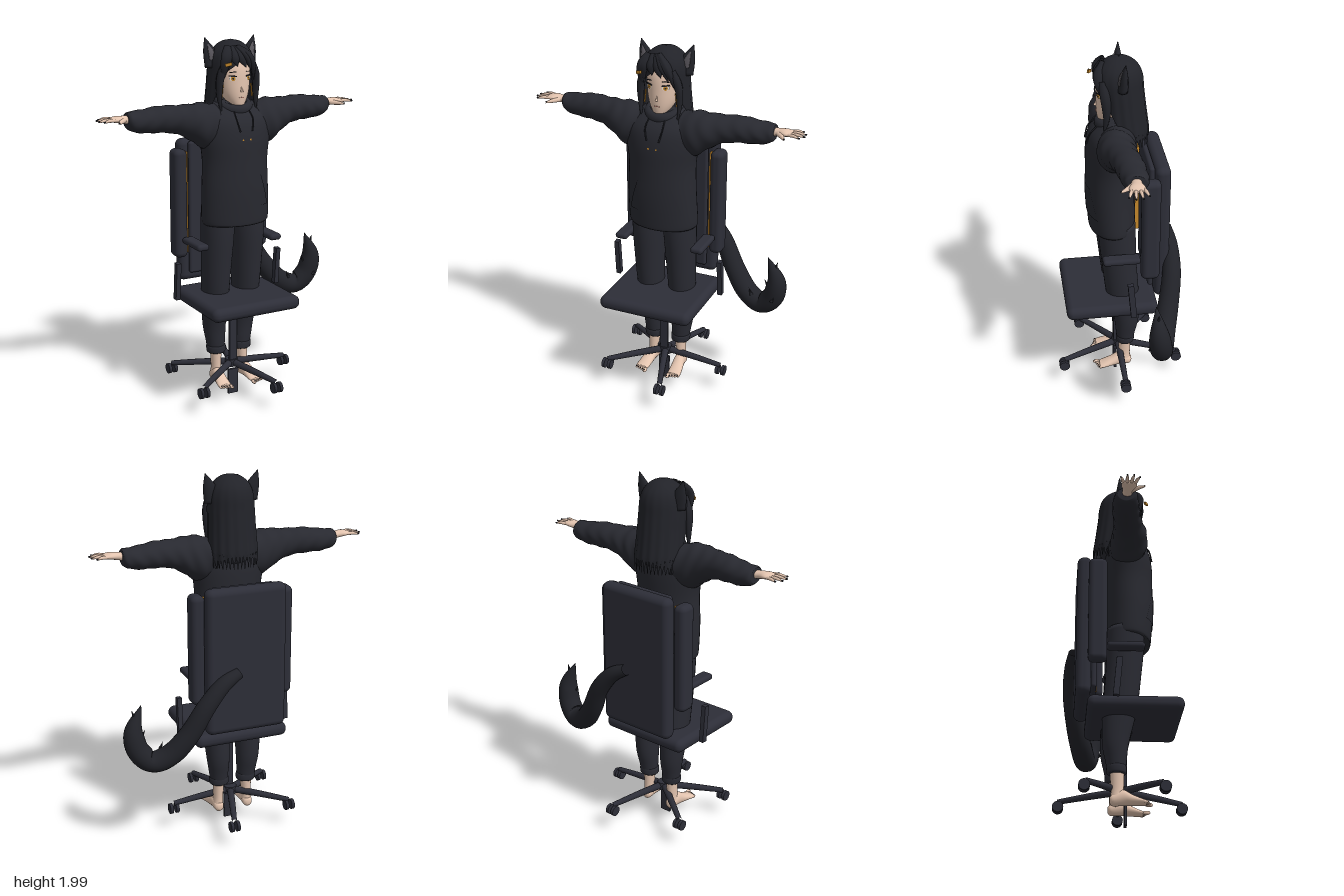
import * as THREE from 'three';
import { RoundedBoxGeometry } from 'three/addons/geometries/RoundedBoxGeometry.js';

const mat = (name, color, side = THREE.FrontSide) => {
  const m = new THREE.MeshStandardMaterial({ color, side });
  m.name = name;
  return m;
};

export function createModel() {
  const root = new THREE.Group();
  root.name = 'figureWithChair';
  const M = {
    cloth: mat('hoodieCloth', 0x282930, THREE.DoubleSide),
    pants: mat('trouserCloth', 0x2a2b33),
    hair: mat('hairBlack', 0x222329, THREE.DoubleSide),
    chair: mat('chairGrey', 0x2d2e38),
    skin: mat('skin', 0xe4c5b0),
    amber: mat('amber', 0xc88a2c, THREE.DoubleSide),
    grey: mat('earLining', 0x57545a),
    lip: mat('lip', 0xb98476),
    white: mat('eyeWhite', 0xe9e4de, THREE.DoubleSide),
  };
  const add = (name, geo, m, parent = root, p = [0, 0, 0], r = [0, 0, 0]) => {
    const mesh = new THREE.Mesh(geo, m);
    mesh.name = name;
    mesh.position.set(...p);
    mesh.rotation.set(...r);
    parent.add(mesh);
    return mesh;
  };
  const group = (name, parent = root) => {
    const g = new THREE.Group();
    g.name = name;
    parent.add(g);
    return g;
  };

  // Grid surface: u goes around (optionally closed), v goes along
  const surface = (nu, nv, f, wrap = false) => {
    const pos = [], idx = [], cols = wrap ? nu : nu + 1;
    for (let j = 0; j <= nv; j++)
      for (let i = 0; i < cols; i++) pos.push(...f(i / nu, j / nv, j));
    for (let j = 0; j < nv; j++)
      for (let i = 0; i < nu; i++) {
        const k = (i + 1) % cols, a = j * cols + i, b = j * cols + k;
        idx.push(a, a + cols, b, b, a + cols, b + cols);
      }
    const g = new THREE.BufferGeometry();
    g.setAttribute('position', new THREE.Float32BufferAttribute(pos, 3));
    g.setIndex(idx);
    g.computeVertexNormals();
    return g;
  };
  // Smooth interpolation through rows of numbers
  const sampler = rows => {
    const it = new THREE.CubicInterpolant(rows.map((_, i) => i), rows.flat(), rows[0].length, new Float32Array(rows[0].length));
    return v => Array.from(it.evaluate(v * (rows.length - 1)));
  };
  // Closed loft of ellipses along an axis; row = [t, centreA, centreB, radiusA, radiusB]
  const loft = (axis, rows, n = 24, fold = 0) => {
    const s = sampler(rows), nv = (rows.length - 1) * 5 + 2;
    return surface(n, nv, (u, v, j) => {
      const [t, ca, cb, ra, rb] = s(Math.min(Math.max((j - 1) / (nv - 2), 0), 1));
      const a = u * Math.PI * 2, end = j === 0 || j === nv ? 0 : 1;
      const k = end * (1 + fold * Math.sin(t * 75 + 2 * Math.sin(a * 2)));
      if (axis === 'y') return [ca + k * ra * Math.cos(a), t, cb + k * rb * Math.sin(a)];
      if (axis === 'x') return [t, ca + k * ra * Math.sin(a), cb + k * rb * Math.cos(a)];
      return [ca + k * ra * Math.sin(a), cb + k * rb * Math.cos(a), t];
    }, true);
  };
  // Tapered tube along a curve
  const sweep = (pts, radii, n = 12, nv = 24, flat = 1) => {
    const c = new THREE.CatmullRomCurve3(pts.map(p => new THREE.Vector3(...p)));
    const fr = c.computeFrenetFrames(nv), rad = sampler(radii.map(r => [r]));
    return surface(n, nv, (u, v, j) => {
      const a = u * Math.PI * 2, r = Math.max(rad(v)[0], 0.0005);
      return c.getPoint(v).addScaledVector(fr.normals[j], r * Math.cos(a))
        .addScaledVector(fr.binormals[j], -r * flat * Math.sin(a)).toArray();
    }, true);
  };
  const box = (w, h, d, r) => new RoundedBoxGeometry(w, h, d, 4, r);

  // ---- Chair ----
  const chair = group('chair');
  add('seat', box(0.53, 0.075, 0.5, 0.035), M.chair, chair, [0, 0.583, 0.06]);
  add('backrestShell', box(0.45, 0.8, 0.08, 0.035), M.chair, chair, [0, 1.04, -0.21]);
  add('backrestCushion', box(0.36, 0.74, 0.03, 0.014), M.chair, chair, [0, 1.06, -0.155]);
  for (const s of [-1, 1]) {
    add('sideBolster', box(0.075, 0.6, 0.1, 0.03), M.chair, chair, [s * 0.248, 1.1, -0.14]);
    add('amberPiping', new THREE.BoxGeometry(0.009, 0.56, 0.03), M.amber, chair, [s * 0.203, 1.1, -0.14]);
    add('armrest', box(0.07, 0.035, 0.2, 0.016), M.chair, chair, [s * 0.222, 0.905, 0.01]);
    add('armrestSupport', new THREE.BoxGeometry(0.026, 0.21, 0.032), M.chair, chair, [s * 0.31, 0.695, -0.037], [0.09, 0, 0]);
  }
  add('post', new THREE.BoxGeometry(0.045, 0.38, 0.014), M.chair, chair, [0, 0.36, 0.02]);
  add('postFoot', new THREE.BoxGeometry(0.062, 0.145, 0.014), M.chair, chair, [0, 0.075, 0.02]);
  add('hub', new THREE.CylinderGeometry(0.035, 0.04, 0.04, 20), M.chair, chair, [0, 0.185, 0]);
  for (let i = 0; i < 5; i++) {
    const a = i * Math.PI * 0.4, x = 0.34 * Math.cos(a), z = 0.34 * Math.sin(a);
    add('baseLeg', sweep([[0, 0.185, 0], [x / 2, 0.172, z / 2], [x, 0.155, z]], [0.02, 0.018, 0.014], 10, 6), M.chair, chair);
    for (const s of [-1, 1])
      add('casterWheel', new THREE.CylinderGeometry(0.029, 0.029, 0.017, 18), M.chair, chair, [x + s * 0.017, 0.126, z], [0, 0, Math.PI / 2]);
  }

  // ---- Hoodie ----
  const hoodie = group('hoodie');
  const torso = [
    [1.01, 0.004, 0.035, 0.182, 0.122], [1.04, 0.004, 0.035, 0.193, 0.127], [1.2, 0, 0.042, 0.19, 0.13],
    [1.36, 0, 0.04, 0.185, 0.132], [1.48, 0, 0.037, 0.2, 0.133], [1.57, 0, 0.03, 0.2, 0.12],
    [1.635, 0, 0.01, 0.15, 0.09], [1.67, 0, 0.005, 0.08, 0.06]];
  add('torso', loft('y', torso, 40), M.cloth, hoodie);
  const body = sampler(torso);
  add('frontPocket', surface(16, 8, (u, v) => {
    const [y, cx, cz, rx, rz] = body((1.5 + v) / 7);
    const a = Math.PI / 2 + (0.5 - u) * (1.7 - 0.7 * v);
    return [cx + rx * 1.03 * Math.cos(a), y, cz + rz * 1.03 * Math.sin(a)];
  }), M.cloth, hoodie);
  const collar = add('hoodCollar', new THREE.TorusGeometry(0.077, 0.027, 12, 32), M.cloth, hoodie, [0, 1.642, 0.022], [Math.PI / 2 + 0.3, 0, 0]);
  collar.scale.set(1, 1, 1.2);
  add('hoodBack', new THREE.SphereGeometry(1, 20, 14), M.cloth, hoodie, [0, 1.59, -0.06]).scale.set(0.11, 0.075, 0.06);
  for (const s of [-1, 1]) {
    add('drawstring', sweep([[s * 0.045, 1.62, 0.115], [s * 0.048, 1.58, 0.152], [s * 0.035, 1.52, 0.168]], [0.004, 0.004, 0.005], 6, 8), M.hair, hoodie);
    add('amberEyelet', new THREE.CircleGeometry(0.005, 10), M.amber, hoodie, [s * 0.022, 1.478, 0.174]);
  }

  // ---- Limbs, built on the left and mirrored ----
  for (const s of [1, -1]) {
    const side = group(s > 0 ? 'leftLimbs' : 'rightLimbs');
    side.scale.x = s;
    add('sleeve', loft('x', [
      [0.1, 1.54, 0.02, 0.11, 0.1], [0.19, 1.548, 0.03, 0.12, 0.1], [0.25, 1.567, 0.03, 0.098, 0.093],
      [0.33, 1.587, 0.015, 0.075, 0.078], [0.42, 1.594, 0, 0.069, 0.074], [0.5, 1.59, -0.008, 0.062, 0.07],
      [0.56, 1.592, -0.012, 0.054, 0.064], [0.585, 1.597, -0.012, 0.047, 0.058], [0.597, 1.6, -0.012, 0.038, 0.045]], 28, 0.03), M.cloth, side);
    // Hand with fanned fingers
    add('palm', loft('x', [
      [0.58, 1.603, -0.01, 0.022, 0.026], [0.62, 1.608, -0.006, 0.02, 0.028],
      [0.655, 1.612, -0.003, 0.017, 0.04], [0.69, 1.612, -0.004, 0.01, 0.037]], 16), M.skin, side);
    [[0.026, 0.74, 0.047], [0.007, 0.758, 0.016], [-0.014, 0.756, -0.018], [-0.034, 0.735, -0.05]].forEach(([z, x, tz]) => {
      add('finger', sweep([[0.675, 1.612, z], [(0.68 + x) / 2, 1.614, (z + tz) / 2], [x, 1.608, tz]], [0.009, 0.0085, 0.003], 8, 8), M.skin, side);
      add('fingernail', new THREE.SphereGeometry(0.0045, 8, 6), M.hair, side, [x - 0.003, 1.611, tz]).scale.x = 1.6;
    });
    add('thumb', sweep([[0.62, 1.606, 0.012], [0.65, 1.604, 0.045], [0.672, 1.602, 0.078]], [0.014, 0.011, 0.004], 8, 8), M.skin, side);
    add('thumbnail', new THREE.SphereGeometry(0.0045, 8, 6), M.hair, side, [0.67, 1.605, 0.075]);
    // Trouser leg and rolled cuff
    add('trouserLeg', loft('y', [
      [0.25, 0.08, -0.03, 0.046, 0.044], [0.32, 0.083, -0.033, 0.054, 0.055], [0.42, 0.088, -0.036, 0.064, 0.07],
      [0.6, 0.094, -0.014, 0.073, 0.09], [0.8, 0.094, 0.005, 0.082, 0.095],
      [0.94, 0.092, 0.014, 0.088, 0.1], [1.06, 0.09, 0.018, 0.092, 0.1]], 28), M.pants, side);
    add('trouserCuff', loft('y', [
      [0.25, 0.08, -0.03, 0.048, 0.045], [0.258, 0.08, -0.03, 0.054, 0.051],
      [0.285, 0.081, -0.03, 0.055, 0.052], [0.295, 0.081, -0.03, 0.05, 0.047]], 24), M.pants, side);
    // Bare foot
    add('ankle', loft('y', [
      [0.12, 0.086, -0.026, 0.029, 0.034], [0.17, 0.084, -0.026, 0.027, 0.033], [0.27, 0.082, -0.028, 0.033, 0.037]], 16), M.skin, side);
    add('foot', loft('z', [
      [-0.066, 0.086, 0.112, 0.012, 0.014], [-0.05, 0.086, 0.112, 0.027, 0.03], [0, 0.088, 0.125, 0.031, 0.042],
      [0.05, 0.093, 0.112, 0.035, 0.028], [0.1, 0.098, 0.1, 0.038, 0.016], [0.12, 0.098, 0.098, 0.034, 0.011]], 18), M.skin, side);
    for (let i = 0; i < 5; i++) {
      const x = 0.07 + i * 0.0145, r = i ? 0.0075 : 0.011, z = 0.135 - i * 0.005;
      add('toe', new THREE.SphereGeometry(r, 10, 8), M.skin, side, [x, 0.096, z]).scale.z = 1.9;
      add('toenail', new THREE.SphereGeometry(r * 0.5, 8, 6), M.hair, side, [x, 0.101, z + r]);
    }
  }

  // ---- Head ----
  const head = group('head');
  add('neck', new THREE.CylinderGeometry(0.038, 0.045, 0.12, 16), M.skin, head, [0, 1.65, 0.01]);
  add('face', loft('y', [
    [1.632, 0, 0.085, 0.014, 0.014], [1.655, 0, 0.06, 0.042, 0.046], [1.7, 0, 0.035, 0.07, 0.077],
    [1.76, 0, 0.024, 0.084, 0.088], [1.84, 0, 0.014, 0.09, 0.092], [1.91, 0, 0, 0.08, 0.08]], 32), M.skin, head);
  add('nose', new THREE.ConeGeometry(0.008, 0.035, 8), M.skin, head, [0, 1.737, 0.113], [-0.25, 0, 0]);
  add('mouth', new THREE.BoxGeometry(0.028, 0.004, 0.006), M.lip, head, [0, 1.69, 0.111]);
  for (const s of [-1, 1]) {
    const eye = group('eye', head);
    eye.position.set(s * 0.046, 1.79, 0.102);
    eye.rotation.y = s * 0.48;
    add('eyeWhite', new THREE.CircleGeometry(0.02, 20), M.white, eye).scale.y = 0.62;
    add('iris', new THREE.CircleGeometry(0.012, 18), M.amber, eye, [-s * 0.002, 0, 0.002]);
    add('pupil', new THREE.CircleGeometry(0.005, 12), M.hair, eye, [-s * 0.002, 0, 0.004]);
    add('upperLash', new THREE.BoxGeometry(0.044, 0.006, 0.005), M.hair, eye, [0, 0.013, 0.002], [0, 0, s * 0.08]);
    add('eyebrow', new THREE.BoxGeometry(0.036, 0.004, 0.004), M.hair, eye, [0, 0.033, 0], [0, 0, -s * 0.1]);
    // Animal ear with pale lining
    const ear = group('animalEar', head);
    ear.scale.x = s;
    add('earShell', loft('y', [[1.84, 0.098, -0.01, 0.05, 0.028], [1.92, 0.117, -0.015, 0.038, 0.021], [1.995, 0.145, -0.02, 0.002, 0.002]], 16), M.hair, ear);
    add('earLining', loft('y', [[1.88, 0.112, 0.008, 0.02, 0.007], [1.92, 0.119, 0.004, 0.018, 0.005], [1.962, 0.133, -0.008, 0.003, 0.003]], 10), M.grey, ear);
    add('amberStreak', new THREE.BoxGeometry(0.006, 0.07, 0.006), M.amber, ear, [0.087, 1.72, 0.062], [0, 0, 0.1]);
    // Face-framing lock
    add('sideLock', sweep([[0.07, 1.88, 0.085], [0.103, 1.8, 0.075], [0.108, 1.7, 0.07], [0.1, 1.6, 0.085]], [0.024, 0.026, 0.018, 0.002], 8, 16, 0.8), M.hair, ear);
  }

  // Hair shell: rows of [y, centreZ, radiusX, radiusZ, half angle of front opening]
  const hairRows = sampler([
    [1.982, -0.005, 0.004, 0.004, 0], [1.968, -0.005, 0.055, 0.058, 0], [1.93, -0.005, 0.098, 0.101, 0],
    [1.88, -0.005, 0.118, 0.121, 0.08], [1.81, -0.01, 0.124, 0.122, 0.75], [1.74, -0.017, 0.126, 0.123, 0.9],
    [1.66, -0.025, 0.13, 0.125, 1.2], [1.59, -0.035, 0.133, 0.124, 1.6], [1.545, -0.04, 0.13, 0.118, 1.8]]);
  add('longHair', surface(96, 40, (u, v) => {
    const [y, cz, rx, rz, o] = hairRows(v), a = Math.max(o, 0);
    const th = a + (2 * Math.PI - 2 * a) * u, k = 1 + 0.018 * v * Math.sin(th * 17);
    const hem = Math.max(0, v - 0.85) * 0.25 * Math.sin(u * 110);
    return [rx * k * Math.sin(th), y + hem, cz + rz * k * Math.cos(th)];
  }), M.hair, head);
  // Swept fringe, parted on the right
  [[0.095, 1.76, 0.075], [0.085, 1.8, 0.092], [0.062, 1.825, 0.108], [0.025, 1.845, 0.118], [-0.025, 1.852, 0.116], [-0.085, 1.8, 0.09], [-0.097, 1.75, 0.075]].forEach(([x, y, z]) =>
    add('fringeLock', sweep([[-0.03 + x * 0.3, 1.95, 0.07], [-0.015 + x * 0.75, 1.895, 0.104], [x, y, z]], [0.02, 0.027, 0.001], 8, 14, 0.7), M.hair, head));
  add('hairClip', new THREE.BoxGeometry(0.035, 0.016, 0.009), M.amber, head, [-0.088, 1.868, 0.135], [0, -0.5, 0.25]);

  // ---- Tail ----
  const tail = group('tail');
  const path = [[0.05, 0.985, -0.255], [0.14, 0.935, -0.262], [0.235, 0.825, -0.26], [0.325, 0.665, -0.23], [0.415, 0.555, -0.195],
    [0.505, 0.517, -0.17], [0.58, 0.58, -0.15], [0.6, 0.69, -0.135], [0.552, 0.83, -0.125]];
  add('tailBody', sweep(path, [0.03, 0.042, 0.05, 0.056, 0.06, 0.06, 0.06, 0.05, 0.001], 20, 60), M.hair, tail);
  // Fur tufts
  [[0.63, 0.64, -0.12, -0.5], [0.545, 0.67, -0.13, 0.5], [0.6, 0.79, -0.13, -0.3], [0.45, 0.59, -0.14, 0.4], [0.6, 0.6, -0.09, -0.4]].forEach(([x, y, z, r]) =>
    add('furTuft', new THREE.ConeGeometry(0.01, 0.045, 6), M.hair, tail, [x, y, z], [0, 0, r]));
  return root;
}
